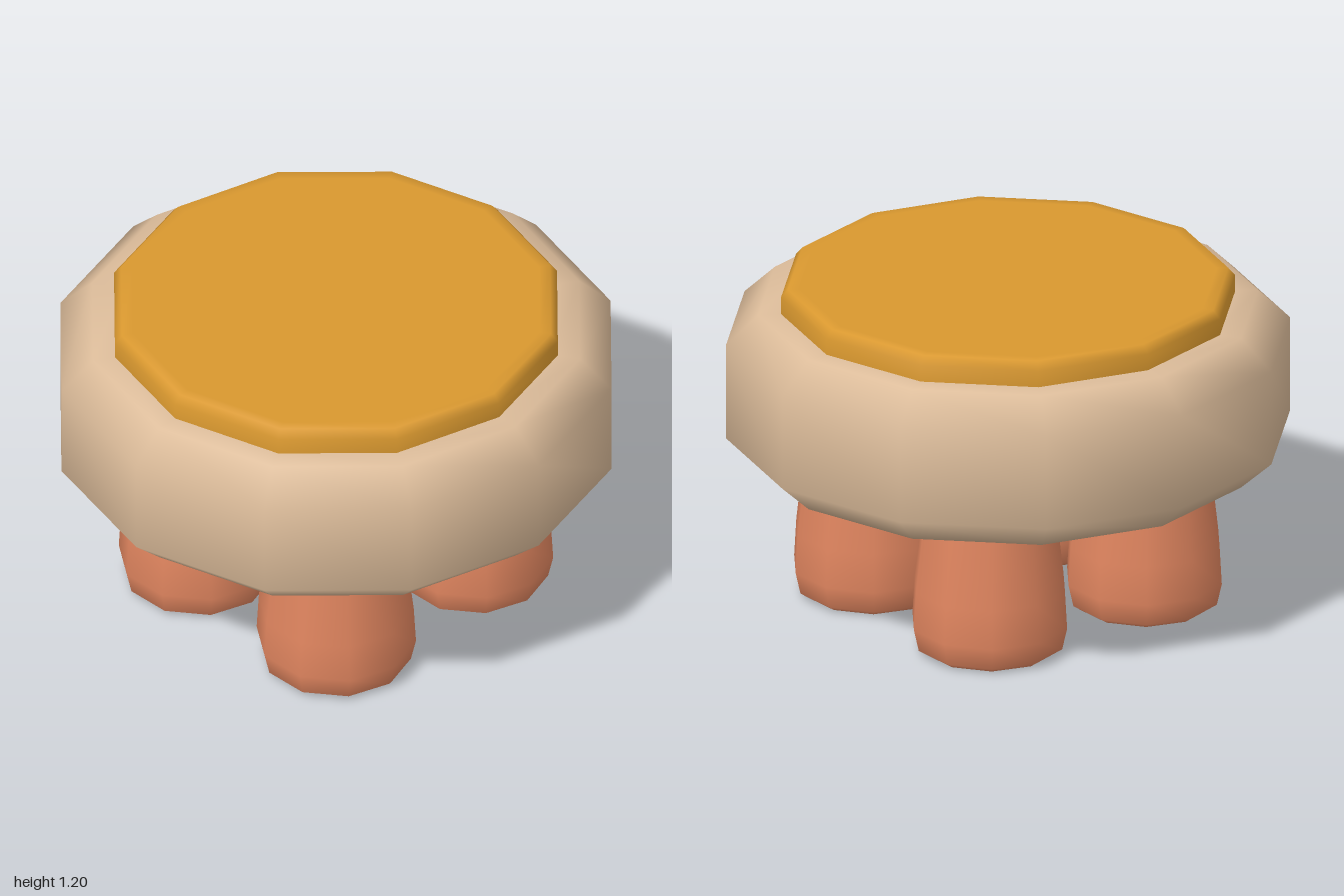
import * as THREE from 'three';

const pts = (list) => list.map(([r, y]) => new THREE.Vector2(r, y));

// Faceted turned part with a corner on the +x axis
function turned(name, profile, sides, material) {
  const mesh = new THREE.Mesh(
    new THREE.LatheGeometry(pts(profile), sides, Math.PI / 2), material);
  mesh.name = name;
  return mesh;
}

export function createModel() {
  const group = new THREE.Group();
  group.name = 'stool';

  const body = new THREE.MeshStandardMaterial({ color: 0xdcbc9a });
  body.name = 'beige body';
  const cushion = new THREE.MeshStandardMaterial({ color: 0xd9982f });
  cushion.name = 'golden cushion';
  const leg = new THREE.MeshStandardMaterial({ color: 0xe0855f, side: THREE.DoubleSide });
  leg.name = 'terracotta leg';

  // Thick twelve-sided seat with bevelled rims
  group.add(turned('seat', [
    [0, 0.545], [0.8, 0.545], [0.885, 0.545], [1, 0.65],
    [1, 1.0], [0.885, 1.11], [0.78, 1.11], [0, 1.11],
  ], 12, body));

  // Thin cushion on top with a small bevel
  group.add(turned('cushion', [
    [0.805, 1.09], [0.805, 1.17], [0.78, 1.2], [0.74, 1.2], [0, 1.2],
  ], 12, cushion));

  // Four stubby hollow legs, open at the foot
  for (const x of [-1, 1]) {
    for (const z of [-1, 1]) {
      const mesh = turned('leg', [
        [0.235, 0], [0.265, 0.02], [0.283, 0.1], [0.275, 0.24],
        [0.24, 0.545], [0.237, 0.58],
      ], 10, leg);
      mesh.position.set(x * 0.34, 0, z * 0.343);
      group.add(mesh);
    }
  }
  return group;
}
